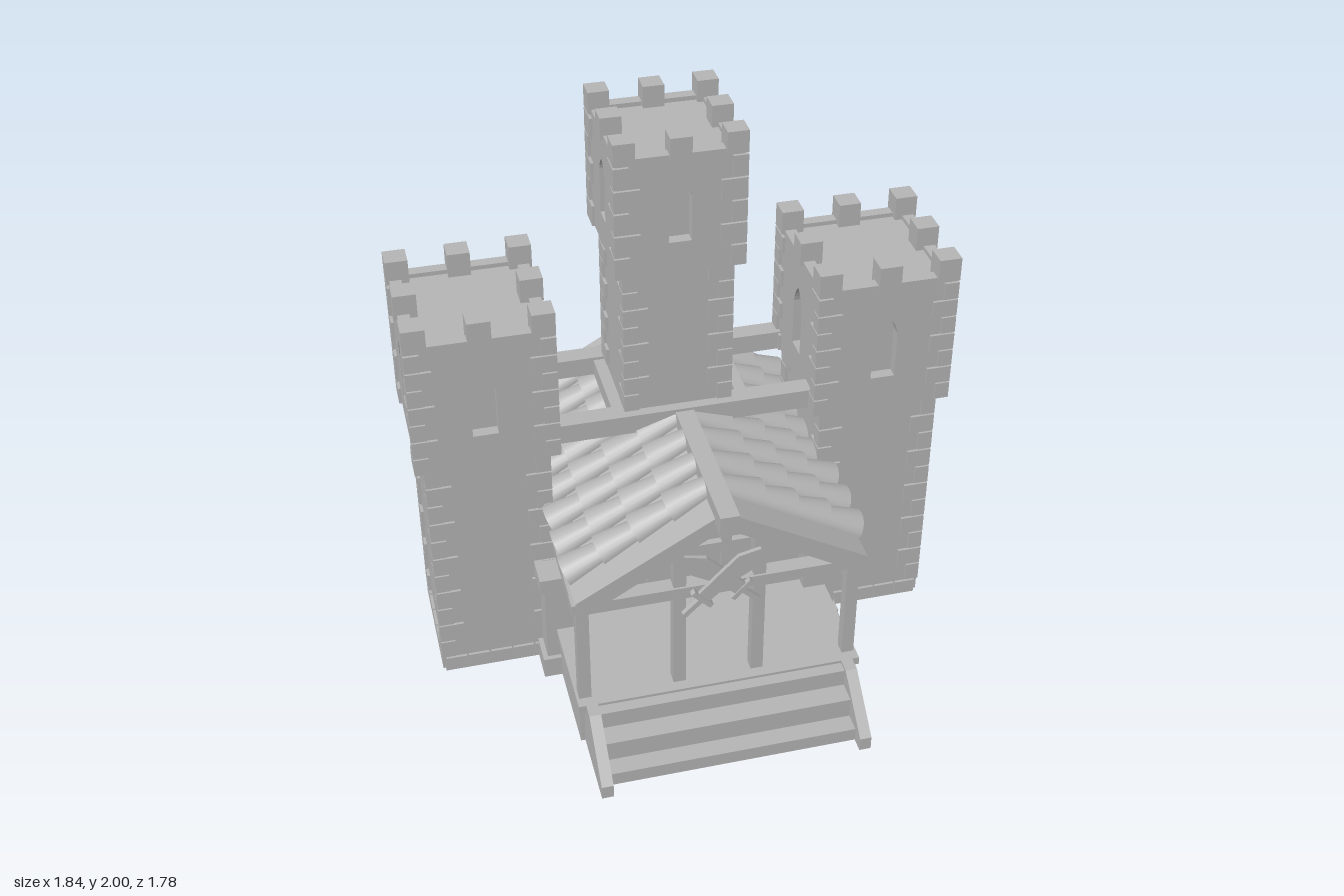
import * as THREE from 'three';

const stone = new THREE.MeshStandardMaterial({ color: 0xb4b4b4, side: THREE.DoubleSide });
stone.name = 'grey stone';

function add(parent, geo, name) {
  const m = new THREE.Mesh(geo, stone);
  m.name = name;
  parent.add(m);
  return m;
}

// Box given by its limits on each axis
function block(parent, name, x0, x1, y0, y1, z0, z1) {
  const m = add(parent, new THREE.BoxGeometry(x1 - x0, y1 - y0, z1 - z0), name);
  m.position.set((x0 + x1) / 2, (y0 + y1) / 2, (z0 + z1) / 2);
  return m;
}

function group(parent, name) {
  const g = new THREE.Group();
  g.name = name;
  parent.add(g);
  return g;
}

// Extruded outline with its back face at z
function plate(parent, name, pts, z, depth) {
  const shape = new THREE.Shape(pts.map(p => new THREE.Vector2(p[0], p[1])));
  const m = add(parent, new THREE.ExtrudeGeometry(shape, { depth, bevelEnabled: false }), name);
  m.position.z = z;
  return m;
}

// Alternating corner stones up the four corners of a shaft
function quoins(parent, w, d, y0, y1, count) {
  const pitch = (y1 - y0) / count, out = 0.01;
  for (const sx of [-1, 1]) for (const sz of [-1, 1]) for (let i = 0; i < count; i++) {
    const lx = i % 2 ? 0.085 : 0.05, lz = i % 2 ? 0.05 : 0.085;
    const m = add(parent, new THREE.BoxGeometry(lx, pitch * 0.92, lz), 'cornerStone');
    m.position.set(sx * (w / 2 + out - lx / 2), y0 + pitch * (i + 0.5), sz * (d / 2 + out - lz / 2));
  }
}

// Wall panel with a pointed window opening
function windowWall(parent, w, y0, y1, ww, sill, spring, apex) {
  const s = new THREE.Shape();
  s.moveTo(-w / 2, y0).lineTo(w / 2, y0).lineTo(w / 2, y1).lineTo(-w / 2, y1).closePath();
  const h = new THREE.Path();
  h.moveTo(-ww / 2, sill);
  h.lineTo(-ww / 2, spring);
  h.quadraticCurveTo(-ww * 0.4, (spring + apex) / 2 + 0.01, 0, apex);
  h.quadraticCurveTo(ww * 0.4, (spring + apex) / 2 + 0.01, ww / 2, spring);
  h.lineTo(ww / 2, sill);
  h.closePath();
  s.holes.push(h);
  return add(parent, new THREE.ExtrudeGeometry(s, { depth: 0.04, bevelEnabled: false, curveSegments: 5 }), 'windowWall');
}

function tower(root, name, o) {
  const g = group(root, name);
  g.position.set(o.x, 0, o.z);
  const { w, d, W, D, bottom, ledge, top, crown } = o;
  block(g, 'shaft', -w / 2, w / 2, bottom, ledge, -d / 2, d / 2);
  quoins(g, w, d, o.quoinStart, ledge - 0.005, o.lowCount);
  // Overhanging head with a window in every side
  block(g, 'headCore', -W / 2 + 0.04, W / 2 - 0.04, ledge, top - 0.015, -D / 2 + 0.04, D / 2 - 0.04);
  block(g, 'headFloor', -W / 2, W / 2, ledge, ledge + 0.03, -D / 2, D / 2);
  for (let i = 0; i < 4; i++) {
    const side = i % 2, wall = windowWall(g, side ? D : W, ledge, top, o.ww, o.sill, o.spring, o.apex);
    const a = i * Math.PI / 2, r = (side ? W : D) / 2 - 0.04;
    wall.rotation.y = a;
    wall.position.set(Math.sin(a) * r, 0, Math.cos(a) * r);
  }
  quoins(g, W, D, ledge, top - 0.02, o.highCount);
  // Battlements: corners and middle of every side
  const m = o.merlon;
  for (let i = -1; i <= 1; i++) for (let k = -1; k <= 1; k++) {
    if (!i && !k) continue;
    const x = i * (W / 2 + 0.01 - m / 2), z = k * (D / 2 + 0.01 - m / 2);
    block(g, 'merlon', x - m / 2, x + m / 2, top - 0.015, crown, z - m / 2, z + m / 2);
  }
  // Row of footing stones
  if (o.footing) for (let i = 0; i < 5; i++) {
    const x = (i - 2) * w / 5, z = (i - 2) * d / 5;
    block(g, 'footingStone', x - 0.037, x + 0.037, 0.012, 0.065, -d / 2 - 0.01, d / 2 + 0.01);
    block(g, 'footingStone', -w / 2 - 0.01, w / 2 + 0.01, 0.012, 0.065, z - 0.04, z + 0.04);
  }
}

// Steps climbing toward the house, with sloped side walls; built facing +z
function stairs(root, name, half, turn) {
  const g = group(root, name);
  [[0.84, 0.05], [0.775, 0.125], [0.7, 0.19]].forEach(([z, y]) =>
    block(g, 'step', -half + 0.02, half - 0.02, 0, y, 0.5, z));
  for (const s of [-1, 1]) {
    const cheek = plate(g, 'stairWall', [[0.55, 0], [0.89, 0], [0.89, 0.05], [0.71, 0.2], [0.55, 0.2]], 0, 0.04);
    cheek.rotation.y = -Math.PI / 2;
    cheek.position.set(s * (half - 0.02) + 0.02, 0, 0);
  }
  g.rotation.y = turn;
}

// Pair of crossed broad blades
function crossedBlades(root, y, z) {
  const g = group(root, 'crossedBlades');
  g.position.set(0, y, z);
  for (const s of [-1, 1]) {
    const b = group(g, 'blade');
    plate(b, 'bladeEdge', [[-0.025, -0.09], [0.025, -0.09], [0.028, 0], [0.05, 0.09], [0.01, 0.165], [-0.03, 0.1], [-0.028, 0]], -0.007, 0.014);
    block(b, 'guard', -0.045, 0.045, -0.105, -0.088, -0.011, 0.011);
    block(b, 'grip', -0.009, 0.009, -0.18, -0.1, -0.009, 0.009);
    b.rotation.z = -s * 0.8;
    if (s < 0) b.scale.x = -1;
    b.position.z = s * 0.008;
  }
}

export function createModel() {
  const root = new THREE.Group();
  root.name = 'castle';

  // Towers
  for (const s of [-1, 1]) tower(root, 'sideTower', {
    x: s * 0.677, z: -0.04, w: 0.4, d: 0.43, W: 0.465, D: 0.48, bottom: 0, ledge: 0.91, top: 1.4, crown: 1.47,
    quoinStart: 0.07, lowCount: 11, highCount: 7, ww: 0.085, sill: 1.03, spring: 1.2, apex: 1.275, merlon: 0.076, footing: true });
  tower(root, 'centralTower', {
    x: -0.015, z: -0.063, w: 0.35, d: 0.35, W: 0.41, D: 0.415, bottom: 0.6, ledge: 1.52, top: 1.94, crown: 2,
    quoinStart: 0.98, lowCount: 8, highCount: 5, ww: 0.075, sill: 1.63, spring: 1.79, apex: 1.84, merlon: 0.07 });

  // Beams tying the towers together
  block(root, 'tieBeam', -0.46, 0.46, 0.91, 0.98, 0.08, 0.148);
  block(root, 'tieBeam', -0.46, 0.46, 0.91, 0.98, -0.287, -0.22);
  for (const s of [-1, 1]) block(root, 'crossBeam', s * 0.215 - 0.02, s * 0.215 + 0.02, 0.91, 0.97, -0.25, 0.1);

  // Floor and stairs
  block(root, 'foundation', -0.48, 0.48, 0, 0.19, -0.54, 0.62);
  block(root, 'floorEdge', -0.49, 0.49, 0.17, 0.2, -0.53, 0.66);
  stairs(root, 'frontStairs', 0.465, 0);
  stairs(root, 'backStairs', 0.21, Math.PI);

  // House with gable ends and timber framing
  const house = group(root, 'house');
  plate(house, 'walls', [[-0.44, 0.19], [0.44, 0.19], [0.44, 0.61], [0, 0.88], [-0.44, 0.61]], -0.46, 0.66);
  const faces = [[0.2, 0.225], [-0.485, -0.46]];
  for (const [z0, z1] of faces) {
    for (const x of [-0.43, -0.3, -0.135, 0.135, 0.3, 0.43])
      block(house, 'stud', x - 0.018, x + 0.018, 0.2, 0.87 - Math.abs(x) * 0.6, z0, z1);
    for (const y of [0.22, 0.415, 0.58])
      block(house, 'rail', -0.45, 0.45, y - 0.02, y + 0.02, z0, z1);
  }
  for (const s of [-1, 1]) {
    for (const y of [0.22, 0.415, 0.52, 0.59])
      block(house, 'sideRail', s * 0.45 - 0.018, s * 0.45 + 0.018, y - 0.018, y + 0.018, -0.47, 0.21);
    block(house, 'sideStud', s * 0.45 - 0.02, s * 0.45 + 0.02, 0.2, 0.62, -0.49, -0.45);
    // Corner pillars with base and cap
    for (const z of [0.215, -0.505]) {
      const p = group(house, 'cornerPillar');
      p.position.set(s * 0.468, 0, z);
      block(p, 'pillarBase', -0.075, 0.075, 0, 0.08, -0.075, 0.075);
      block(p, 'pillarShaft', -0.058, 0.058, 0.08, 0.385, -0.058, 0.058);
      block(p, 'pillarCap', -0.075, 0.075, 0.385, 0.445, -0.075, 0.075);
    }
    // Porch side beams
    block(house, 'porchRail', s * 0.46 - 0.018, s * 0.46 + 0.018, 0.505, 0.54, 0.2, 0.6);
    block(house, 'porchPlate', s * 0.455 - 0.02, s * 0.455 + 0.02, 0.59, 0.625, 0.2, 0.64);
  }

  // Front porch posts and beam
  for (const x of [-0.46, -0.135, 0.135, 0.46])
    block(house, 'porchPost', x - 0.021, x + 0.021, 0.19, 0.87 - Math.abs(x) * 0.58, 0.58, 0.622);
  block(house, 'porchBeam', -0.495, 0.495, 0.585, 0.622, 0.575, 0.63);
  crossedBlades(house, 0.655, 0.645);
  crossedBlades(house, 0.61, -0.55);

  // Main roof: slabs, ridge and overlapping barrel tiles
  const roof = group(root, 'roof');
  block(roof, 'ridgeBeam', -0.032, 0.032, 0.9, 0.97, -0.55, 0.725);
  const angle = Math.atan2(0.28, 0.49);
  const convex = new THREE.CylinderGeometry(0.042, 0.066, 0.15, 10, 1, true, 0, Math.PI).rotateZ(Math.PI / 2);
  const hollow = new THREE.CylinderGeometry(0.046, 0.03, 0.15, 8, 1, true, Math.PI, Math.PI).rotateZ(Math.PI / 2);
  for (const s of [-1, 1]) {
    plate(roof, 'roofSlab', [[0, 0.94], [s * 0.49, 0.66], [s * 0.455, 0.603], [0, 0.875]], -0.525, 1.19);
    const side = group(roof, 'tileField');
    if (s < 0) side.rotation.y = Math.PI;
    const slope = group(side, 'tileSlope');
    slope.position.y = 0.94;
    slope.rotation.z = -angle;
    for (let r = 0; r < 8; r++) for (let c = 0; c < 4; c++) {
      const z = s * (0.52 - r * 0.1315), x = 0.085 + c * 0.132;
      const t = add(slope, convex, 'coverTile');
      t.position.set(x, 0.008, z);
      t.rotation.z = 0.05;
      t.scale.y = 0.85;
      if (r < 7) add(slope, hollow, 'valleyTile').position.set(x, 0.032, z - s * 0.0657);
    }
  }

  // Small canopy over the back door
  const canopy = group(root, 'backCanopy');
  block(canopy, 'canopyRidge', -0.022, 0.022, 0.51, 0.545, -0.74, -0.48);
  block(canopy, 'door', -0.1, 0.1, 0.2, 0.43, -0.5, -0.48);
  for (const s of [-1, 1]) {
    plate(canopy, 'canopyRoof', [[0, 0.535], [s * 0.17, 0.42], [s * 0.155, 0.395], [0, 0.5]], -0.665, 0.19);
    block(canopy, 'canopyPost', s * 0.135 - 0.016, s * 0.135 + 0.016, 0.19, 0.41, -0.646, -0.614);
    block(canopy, 'canopyBracket', s * 0.135 - 0.023, s * 0.135 + 0.023, 0.36, 0.4, -0.655, -0.605);
  }
  block(canopy, 'canopyBeam', -0.155, 0.155, 0.395, 0.425, -0.645, -0.615);
  return root;
}
